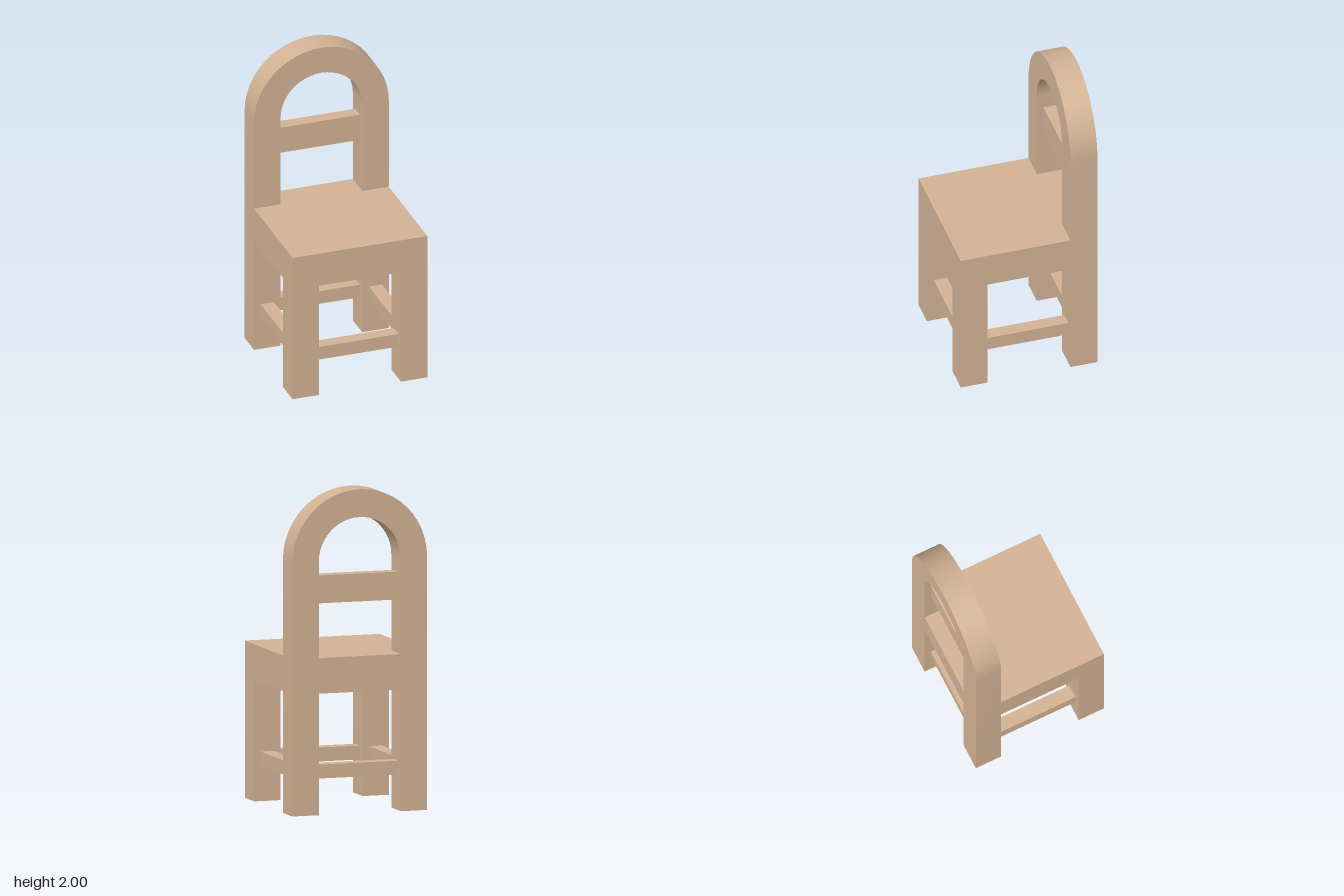
import * as THREE from 'three';
import { toCreasedNormals } from 'three/addons/utils/BufferGeometryUtils.js';

const HALF = 0.437;          // half width and half depth of the chair
const POST = 0.172;          // thickness of legs and posts
const INNER = HALF - POST;
const MID = HALF - POST / 2; // centre line of the legs
const SEAT_BOTTOM = 0.75, SEAT_TOP = 0.97;
const ARCH_Y = 2 - HALF;     // height where the arch springs
const RAIL = 0.086;

export function createModel() {
  const chair = new THREE.Group();
  chair.name = 'chair';
  const wood = new THREE.MeshStandardMaterial({ color: 0xd3b294 });

  const add = (name, geometry, x = 0, y = 0, z = 0) => {
    const mesh = new THREE.Mesh(geometry, wood);
    mesh.name = name;
    mesh.position.set(x, y, z);
    chair.add(mesh);
    return mesh;
  };
  const box = (name, w, h, d, x, y, z) => add(name, new THREE.BoxGeometry(w, h, d), x, y, z);

  // Back legs, posts and round arch in one continuous frame
  const frame = new THREE.Shape();
  frame.moveTo(HALF, 0);
  frame.lineTo(HALF, ARCH_Y);
  frame.absarc(0, ARCH_Y, HALF, 0, Math.PI, false);
  frame.lineTo(-HALF, 0);
  frame.lineTo(-INNER, 0);
  frame.lineTo(-INNER, ARCH_Y);
  frame.absarc(0, ARCH_Y, INNER, Math.PI, 0, true);
  frame.lineTo(INNER, 0);
  const frameGeometry = new THREE.ExtrudeGeometry(frame, { depth: POST, bevelEnabled: false, curveSegments: 12 });
  add('backFrame', toCreasedNormals(frameGeometry, 0.5), 0, 0, -HALF);

  // Seat block, with a tongue that fills the gap between the back posts
  const seat = new THREE.Shape([
    [-HALF, -HALF], [HALF, -HALF], [HALF, INNER], [INNER, INNER],
    [INNER, HALF], [-INNER, HALF], [-INNER, INNER], [-HALF, INNER],
  ].map(([x, y]) => new THREE.Vector2(x, y)));
  const seatGeometry = new THREE.ExtrudeGeometry(seat, { depth: SEAT_TOP - SEAT_BOTTOM, bevelEnabled: false });
  seatGeometry.rotateX(-Math.PI / 2);
  add('seat', seatGeometry, 0, SEAT_BOTTOM, 0);

  // Front legs and the stretchers between all legs
  const railY = 0.263;
  for (const [side, s] of [['left', 1], ['right', -1]]) {
    box(side + 'FrontLeg', POST, SEAT_BOTTOM, POST, s * MID, SEAT_BOTTOM / 2, MID);
    box(side + 'Stretcher', RAIL, RAIL, 2 * INNER, s * MID, railY, 0);
  }
  box('frontStretcher', 2 * INNER, RAIL, RAIL, 0, railY, MID);
  box('backStretcher', 2 * INNER, RAIL, RAIL, 0, railY, -MID);

  // Cross slat in the backrest
  box('backSlat', 2 * INNER, POST, RAIL, 0, 1.387, -MID);

  return chair;
}
